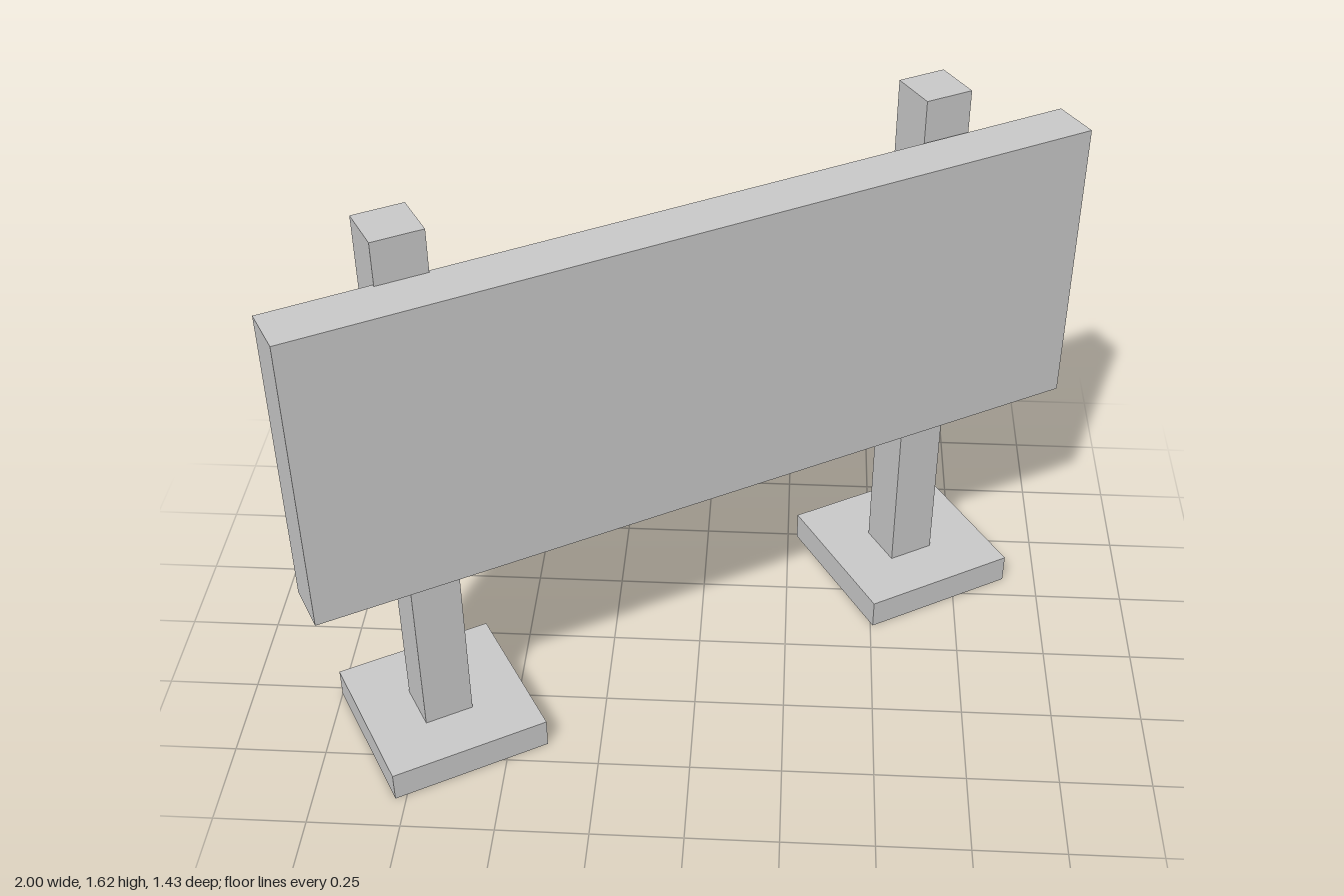
import * as THREE from 'three';

const ANGLE = Math.PI / 6; // the whole sign is turned 30 degrees about the vertical

export function createModel() {
  const model = new THREE.Group();
  const material = new THREE.MeshStandardMaterial({ color: 0xcccccc, flatShading: true });

  // Turned box with its centre at (x, z), reaching from y0 to y1
  function addBox(name, x, z, y0, y1, width, depth) {
    const mesh = new THREE.Mesh(new THREE.BoxGeometry(width, y1 - y0, depth), material);
    mesh.name = name;
    mesh.position.set(x, (y0 + y1) / 2, z);
    mesh.rotation.y = ANGLE;
    model.add(mesh);
  }

  // Sign panel in front of the posts
  addBox('signBoard', 0.015, 0.1, 0.67, 1.498, 2.2, 0.137);

  // Square posts standing on square foot plates
  const supports = [
    { side: 'right', post: [-0.698, 0.364], foot: [-0.698, 0.353], footSize: 0.443 },
    { side: 'left', post: [0.588, -0.393], foot: [0.591, -0.407], footSize: 0.459 },
  ];
  for (const { side, post, foot, footSize } of supports) {
    addBox(side + 'Post', ...post, 0.085, 1.615, 0.135, 0.135);
    addBox(side + 'Foot', ...foot, 0, 0.085, footSize, footSize);
  }

  return model;
}
